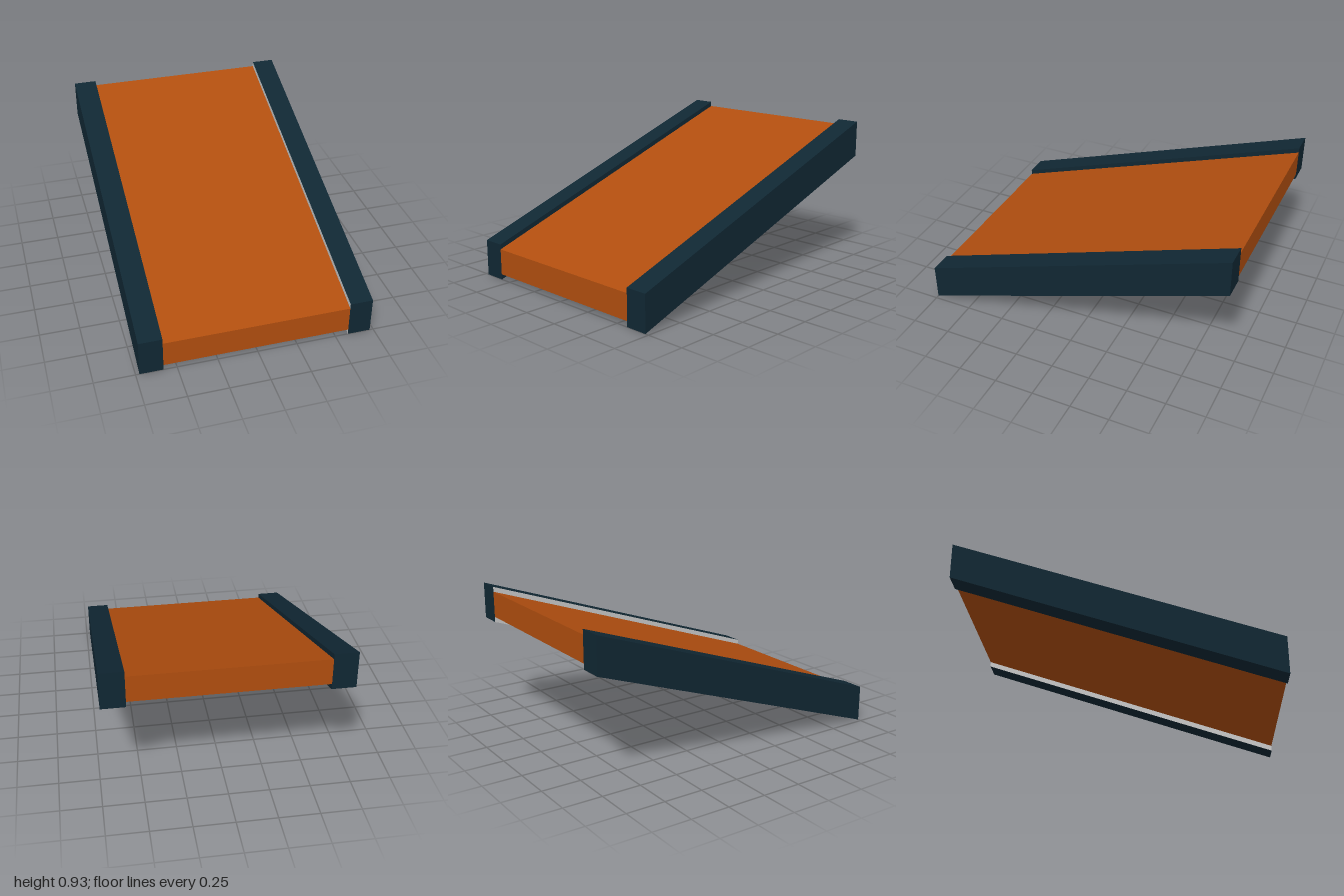
import * as THREE from 'three';

const SLOPE = 0.348; // rise per unit of depth towards the back
const LENGTH = 2;

// Box sheared along z so that its ends stay vertical; bottom is its height at the front end
function slopedBox(width, height, bottom) {
  const geo = new THREE.BoxGeometry(width, height, LENGTH);
  const p = geo.attributes.position;
  for (let i = 0; i < p.count; i++) {
    p.setY(i, p.getY(i) + bottom + height / 2 + (LENGTH / 2 - p.getZ(i)) * SLOPE);
  }
  geo.computeVertexNormals();
  return geo;
}

export function createModel() {
  const orange = new THREE.MeshStandardMaterial({ name: 'burnt orange', color: 0xb04e0f });
  const navy = new THREE.MeshStandardMaterial({ name: 'dark navy', color: 0x102733 });
  const grey = new THREE.MeshStandardMaterial({ name: 'pale grey', color: 0xc8c8c8 });

  const model = new THREE.Group();
  model.name = 'ramp';

  // Sloping deck between the rails
  const deck = new THREE.Mesh(slopedBox(1.164, 0.166, 0.035), orange);
  deck.name = 'deck';
  model.add(deck);

  // Side rails, the left one with an unpainted inner face
  const railGeo = slopedBox(0.145, 0.233, 0);
  const leftRail = new THREE.Mesh(railGeo, [navy, grey, navy, navy, navy, navy]);
  leftRail.name = 'leftRail';
  leftRail.position.x = 0.6545;
  const rightRail = new THREE.Mesh(railGeo, navy);
  rightRail.name = 'rightRail';
  rightRail.position.x = -0.6545;
  model.add(leftRail, rightRail);

  return model;
}
